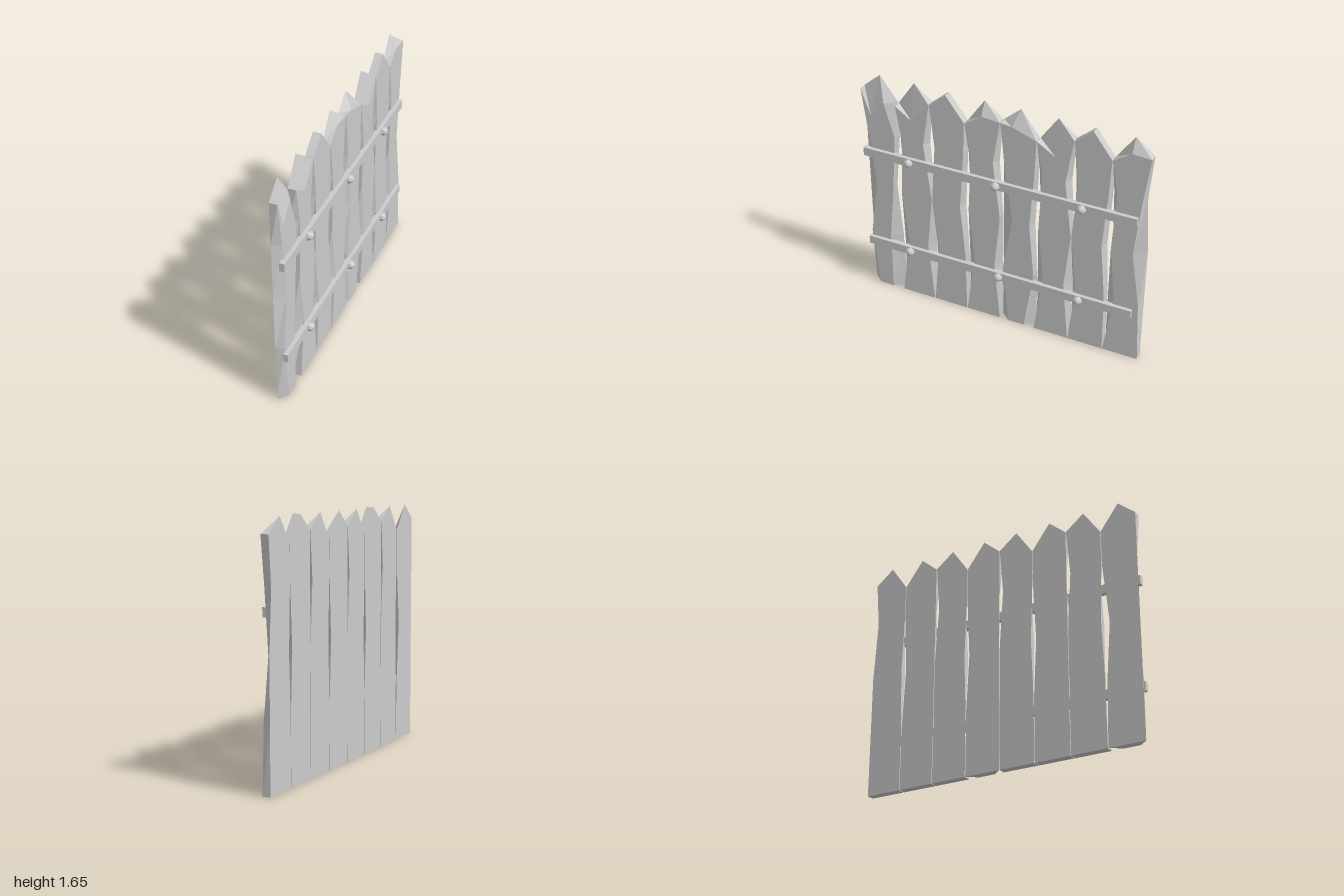
import * as THREE from 'three';

const material = new THREE.MeshStandardMaterial({ color: 0xcccccc, flatShading: true, side: THREE.DoubleSide });
const BACK = -0.06, FRONT = -0.006, WIDTH = 0.25, GAP = 0.004;

// Edge insets (hundredths) at five heights, bottom to top: front/back, left/right
const tallLeft = { fl: [0, 4, 0, 3, 0], fr: [0, 0.5, 4, 1, 0], bl: [0, 0, 0, 0, 0], br: [0, 0, 2, 0, 0], peak: [12, 1.65] };
const tallRight = { fl: [0, 6, 2, 4, 0], fr: [0, 4, 0, 5, 0], bl: [0, 0, 1.5, 0, 0], br: [0, 0, 0, 2.5, 0], peak: [12, 1.65] };

// Each plank's own hewn variations; peak is the front tip
const variations = [
  { fl: [6, 2, 8, 4, 0], fr: [8, 8, 4, 1, 8], br: [0, 1, 4, 0, 0], peak: [7, 1.36] },
  { peak: [12, 1.4] },
  {},
  { peak: [12, 1.56] },
  { fl: [6, 2, 8.5, 3, 0], fr: [7, 0.5, 4, 1, 0], peak: [8, 1.54] },
  { peak: [13, 1.4] },
  {},
  { fr: [0, 2, 8, 4, 0], peak: [12, 1.56] },
];

function plankGeometry(p, z0, leftTop, rightTop) {
  const left = [0, 0.44, 0.83, 1.24, leftTop];
  const right = [0, 0.44, 0.83, 1.24, rightTop];
  const layer = (x, l, r, peak) => ({
    L: left.map((y, i) => [x, y, z0 - GAP / 2 - l[i] / 100]),
    R: right.map((y, i) => [x, y, z0 - WIDTH + GAP / 2 + r[i] / 100]),
    P: [x, peak[1], z0 - peak[0] / 100],
  });
  const f = layer(FRONT, p.fl, p.fr, p.peak);
  const b = layer(BACK, p.bl, p.br, [12, 1.65]);
  const pos = [];
  const tri = (a, c, d) => pos.push(...a, ...c, ...d);

  // Broad faces
  for (const [s, flip] of [[f, false], [b, true]]) {
    const face = (a, c, d) => (flip ? tri(a, d, c) : tri(a, c, d));
    for (let i = 0; i < 3; i++) {
      face(s.L[i], s.R[i], s.R[i + 1]);
      face(s.L[i], s.R[i + 1], s.L[i + 1]);
    }
    face(s.L[3], s.R[3], s.P);
    face(s.L[3], s.P, s.L[4]);
    face(s.R[3], s.R[4], s.P);
  }

  // Edges joining front and back outlines
  const loop = (s) => [...s.R, s.P, ...[...s.L].reverse()];
  const F = loop(f), B = loop(b);
  F.forEach((a, i) => {
    const j = (i + 1) % F.length;
    tri(a, B[i], B[j]);
    tri(a, B[j], F[j]);
  });

  const g = new THREE.BufferGeometry();
  g.setAttribute('position', new THREE.Float32BufferAttribute(pos, 3));
  g.computeVertexNormals();
  return g;
}

export function createModel() {
  const group = new THREE.Group();
  const add = (name, geometry, x = 0, y = 0, z = 0) => {
    const mesh = new THREE.Mesh(geometry, material);
    mesh.name = name;
    mesh.position.set(x, y, z);
    group.add(mesh);
  };

  // Eight upright planks with alternating tops
  variations.forEach((v, i) => {
    const odd = i % 2 === 1;
    const p = { ...(odd ? tallRight : tallLeft), ...v };
    add(`plank${i + 1}`, plankGeometry(p, 1 - i * WIDTH, odd ? 1.48 : 1.55, odd ? 1.55 : 1.48));
  });

  // Two cross rails with faceted bolt heads
  const boltGeometry = new THREE.SphereGeometry(0.031, 8, 6).rotateZ(-Math.PI / 2);
  const rails = [
    { name: 'lowerRail', y: 0.37, bolts: [0.665, 0, -0.575] },
    { name: 'upperRail', y: 1.09, bolts: [0.65, 0.02, -0.575] },
  ];
  for (const { name, y, bolts } of rails) {
    add(name, new THREE.BoxGeometry(0.035, 0.06, 1.93), 0.0025, y, 0.025);
    bolts.forEach((z, i) => add(`${name}Bolt${i + 1}`, boltGeometry, 0.025, y, z));
  }
  return group;
}
